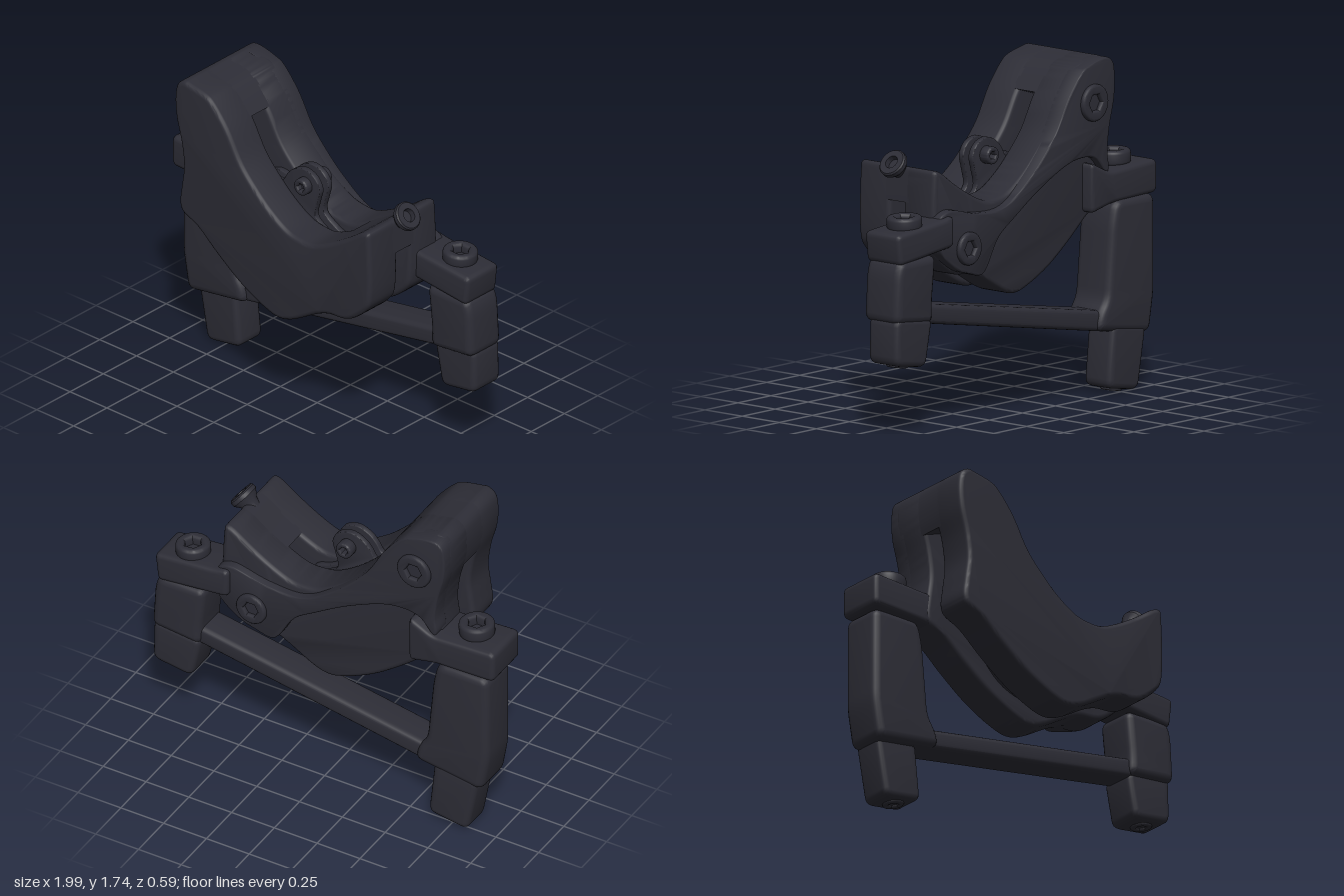
import * as THREE from 'three';
import { toCreasedNormals } from 'three/addons/utils/BufferGeometryUtils.js';

const graphite = new THREE.MeshStandardMaterial({ color: 0x2d2d36 });
graphite.name = 'graphite';

const vec = (pts) => pts.map(([x, y]) => new THREE.Vector2(x, y));

// Closed smooth outline through a few points
function smooth(pts, n) {
  const c = new THREE.CatmullRomCurve3(pts.map(([x, y]) => new THREE.Vector3(x, y, 0)), true, 'centripetal');
  return c.getPoints(n).slice(0, -1).map((p) => new THREE.Vector2(p.x, p.y));
}

// Polygon with rounded corners
function rounded(pts, r) {
  const p = vec(pts), out = [];
  p.forEach((b, i) => {
    const a = p[(i + p.length - 1) % p.length], c = p[(i + 1) % p.length];
    const da = a.clone().sub(b), dc = c.clone().sub(b);
    const s = b.clone().add(da.setLength(Math.min(r, da.length() * 0.45)));
    const e = b.clone().add(dc.setLength(Math.min(r, dc.length() * 0.45)));
    out.push(...new THREE.QuadraticBezierCurve(s, b, e).getPoints(4));
  });
  return out;
}

// Outline in x-y extruded from z0 to z1 with softened rims
function slab(parent, name, outline, z0, z1, bevel = 0) {
  const geo = new THREE.ExtrudeGeometry(new THREE.Shape(outline), {
    depth: z1 - z0 - 2 * bevel, bevelEnabled: bevel > 0, bevelThickness: bevel,
    bevelSize: bevel, bevelOffset: -bevel, bevelSegments: 4, curveSegments: 12,
  });
  geo.translate(0, 0, z0 + bevel);
  const mesh = new THREE.Mesh(toCreasedNormals(geo, 0.6), graphite);
  mesh.name = name;
  parent.add(mesh);
  return mesh;
}

// Round bolt head with a hexagonal socket, standing along dir from pos
function bolt(parent, name, pos, dir, r, h) {
  const g = new THREE.Group();
  g.name = name;
  const shape = new THREE.Shape().absarc(0, 0, r, 0, Math.PI * 2);
  const hex = [];
  for (let i = 0; i < 6; i++) hex.push(new THREE.Vector2().setFromPolar
    ? new THREE.Vector2().setFromPolar(r * 0.5, 0) : new THREE.Vector2(Math.cos(-i * Math.PI / 3), Math.sin(-i * Math.PI / 3)).multiplyScalar(r * 0.5));
  shape.holes.push(new THREE.Path(hex));
  const b = Math.min(r * 0.2, h * 0.35);
  const geo = new THREE.ExtrudeGeometry(shape, {
    depth: h - 2 * b, bevelThickness: b, bevelSize: b, bevelOffset: -b, bevelSegments: 3, curveSegments: 24,
  });
  geo.translate(0, 0, b);
  const head = new THREE.Mesh(toCreasedNormals(geo, 0.6), graphite);
  head.name = 'boltHead';
  const floor = new THREE.Mesh(new THREE.CircleGeometry(r * 0.8, 24), graphite);
  floor.name = 'socketFloor';
  floor.position.z = h * 0.3;
  g.add(head, floor);
  g.position.set(...pos);
  g.quaternion.setFromUnitVectors(new THREE.Vector3(0, 0, 1), new THREE.Vector3(...dir).normalize());
  parent.add(g);
}

export function createModel() {
  const model = new THREE.Group();
  model.name = 'clampAssembly';

  // Main cradle: two cheeks with a slot between them, bridged at both ends
  const outline = smooth([
    [-0.64, 1.74], [-0.6, 1.735], [-0.49, 1.71], [-0.455, 1.69], [-0.35, 1.57], [-0.25, 1.4], [-0.155, 1.295],
    [-0.06, 1.21], [0.06, 1.137], [0.14, 1.12], [0.22, 1.12], [0.32, 1.16], [0.45, 1.235], [0.58, 1.32],
    [0.61, 1.32], [0.62, 1.27], [0.622, 0.94], [0.6, 0.885], [0.5, 0.795], [0.44, 0.77], [0.34, 0.76],
    [0.27, 0.735], [0.08, 0.63], [0, 0.612], [-0.08, 0.63], [-0.25, 0.71], [-0.42, 0.83], [-0.55, 0.935],
    [-0.65, 0.985], [-0.67, 1.03], [-0.66, 1.13], [-0.645, 1.25], [-0.66, 1.38], [-0.695, 1.52],
    [-0.702, 1.64], [-0.685, 1.71],
  ], 180);
  const body = new THREE.Group();
  body.name = 'cradle';
  model.add(body);
  slab(body, 'frontCheek', outline, 0.09, 0.3, 0.025);
  slab(body, 'backCheek', outline, -0.21, -0.005, 0.025);
  slab(body, 'armBridge', outline.filter((p) => p.x < -0.3 && p.y > 1.45 + (p.x + 0.69) * 0.28), -0.04, 0.125);
  slab(body, 'noseBridge', outline.filter((p) => p.x > 0.32 && p.y > 1.1), -0.04, 0.125);

  // Mounting plate on the back, following the arm and sweeping to the right block
  slab(body, 'backPlate', smooth([
    [-0.64, 1.738], [-0.49, 1.708], [-0.455, 1.69], [-0.35, 1.57], [-0.25, 1.4], [-0.155, 1.293], [-0.04, 1.19],
    [0.14, 1.08], [0.35, 1.08], [0.56, 1.12], [0.63, 1.08], [0.63, 0.93], [0.5, 0.81], [0.4, 0.775], [0.3, 0.76],
    [0.18, 0.93], [0.05, 1.02], [-0.17, 1.15], [-0.4, 1.24], [-0.55, 1.23], [-0.64, 1.14], [-0.655, 1.17],
    [-0.645, 1.25], [-0.66, 1.38], [-0.695, 1.52], [-0.7, 1.64], [-0.685, 1.71],
  ], 140), -0.255, -0.15, 0.012);
  bolt(body, 'upperBackBolt', [-0.53, 1.52, -0.245], [0, 0, -1], 0.095, 0.035);
  bolt(body, 'lowerBackBolt', [0.42, 0.91, -0.245], [0, 0, -1], 0.085, 0.035);

  // Twin lugs inside the slot with a cross pin
  const lug = smooth([
    [-0.155, 1.27], [-0.12, 1.32], [-0.08, 1.36], [-0.01, 1.386], [0.065, 1.36], [0.1, 1.3], [0.085, 1.23],
    [0.07, 1.14], [0.15, 1.08], [0.25, 1.03], [0.27, 0.85], [0.2, 0.75], [0, 0.72], [-0.2, 0.78], [-0.34, 0.95],
    [-0.35, 1.2], [-0.25, 1.27],
  ], 90);
  for (const z of [-0.005, 0.06]) slab(model, 'pivotLug', lug, z, z + 0.033, 0.006);
  bolt(model, 'pivotPinFront', [0.005, 1.3, 0.085], [0, 0, 1], 0.045, 0.05);
  bolt(model, 'pivotPinBack', [0.005, 1.3, 0], [0, 0, -1], 0.045, 0.06);
  const pin = new THREE.Mesh(new THREE.CylinderGeometry(0.025, 0.025, 0.12, 20).rotateX(Math.PI / 2), graphite);
  pin.name = 'pivotPin';
  pin.position.set(0.005, 1.3, 0.044);
  model.add(pin);

  // Flared screw at the tip of the nose
  const axis = new THREE.Vector3(0.77, 0.63, 0).normalize();
  const screw = new THREE.Mesh(toCreasedNormals(new THREE.LatheGeometry(vec([
    [0, 0], [0.03, 0], [0.034, 0.12], [0.045, 0.16], [0.068, 0.19], [0.075, 0.2], [0.075, 0.222],
    [0.068, 0.23], [0.035, 0.23], [0.033, 0.2], [0, 0.2],
  ]), 28), 0.6), graphite);
  screw.name = 'tensionScrew';
  screw.position.set(0.485, 1.205, 0.044);
  screw.quaternion.setFromUnitVectors(new THREE.Vector3(0, 1, 0), axis);
  model.add(screw);

  // Side blocks carrying the legs
  slab(model, 'rightBlock', rounded([[-1, 0.995], [-0.66, 0.985], [-0.5, 0.95], [-0.5, 1.22], [-0.64, 1.15],
    [-1, 1.17]], 0.035), -0.275, -0.01, 0.025);
  bolt(model, 'rightBlockBolt', [-0.82, 1.15, -0.13], [0.03, 1, 0], 0.092, 0.078);
  slab(model, 'leftBlock', rounded([[0.55, 0.94], [0.96, 0.895], [0.978, 1.055], [0.64, 1.085], [0.55, 1.1]], 0.03),
    -0.285, -0.05, 0.025);
  bolt(model, 'leftBlockBolt', [0.81, 1.055, -0.175], [0.06, 1, 0], 0.09, 0.07);

  // Legs joined by a slanted crossbar
  slab(model, 'rightLeg', rounded([[-0.97, 1], [-0.675, 1], [-0.645, 0.88], [-0.61, 0.5], [-0.56, 0.43],
    [-0.54, 0.345], [-0.935, 0.285], [-0.972, 0.5]], 0.05), -0.29, -0.05, 0.04);
  slab(model, 'leftLeg', rounded([[0.685, 0.92], [0.955, 0.92], [0.98, 0.85], [0.995, 0.6], [0.71, 0.57],
    [0.71, 0.68]], 0.045), -0.29, -0.055, 0.04);
  slab(model, 'crossbar', vec([[-0.68, 0.32], [0.8, 0.58], [0.8, 0.682], [-0.68, 0.428]]), -0.265, -0.08, 0.03);

  // Feet
  slab(model, 'rightFoot', rounded([[-0.91, 0.33], [-0.655, 0.37], [-0.62, 0.04], [-0.85, 0.004]], 0.045),
    -0.285, -0.105, 0.03);
  slab(model, 'leftFoot', rounded([[0.71, 0.6], [0.985, 0.63], [0.99, 0.385], [0.76, 0.352]], 0.045),
    -0.285, -0.085, 0.03);
  bolt(model, 'rightFootBolt', [-0.735, 0.035, -0.195], [0.14, -1, 0], 0.055, 0.025);
  bolt(model, 'leftFootBolt', [0.875, 0.38, -0.185], [0.13, -1, 0], 0.055, 0.022);
  return model;
}
